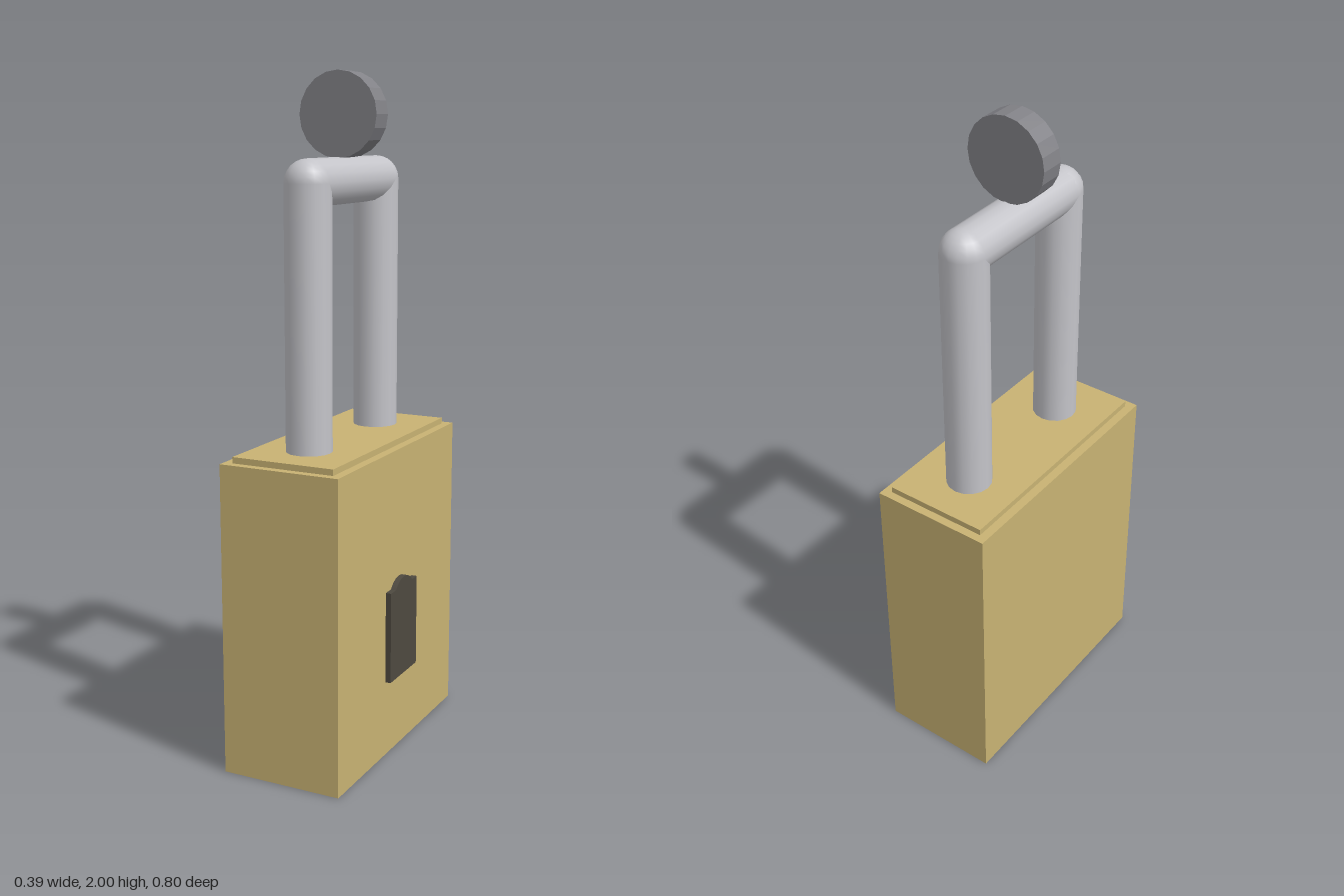
import * as THREE from 'three';
import { toCreasedNormals } from 'three/addons/utils/BufferGeometryUtils.js';

export function createModel() {
  const model = new THREE.Group();
  const CX = -0.01;
  const brass = new THREE.MeshStandardMaterial({ color: 0xc8b273 });
  const steel = new THREE.MeshStandardMaterial({ color: 0xc4c4c9 });
  const darkSteel = new THREE.MeshStandardMaterial({ color: 0x828287 });
  const black = new THREE.MeshStandardMaterial({ color: 0x4e4940 });

  function add(name, geometry, material, x, y, z, parent = model) {
    const mesh = new THREE.Mesh(geometry, material);
    mesh.name = name;
    mesh.position.set(x, y, z);
    parent.add(mesh);
    return mesh;
  }

  // Block body and the thin plate on its top
  add('body', new THREE.BoxGeometry(0.37, 0.925, 0.8), brass, CX, 0.4625, 0);
  add('topPlate', new THREE.BoxGeometry(0.317, 0.028, 0.75), brass, CX, 0.929, 0);

  // Shackle: two legs, a crossbar and ball corners
  const shackle = new THREE.Group();
  shackle.name = 'shackle';
  model.add(shackle);
  const R = 0.067, legZ = 0.216, barY = 1.694, base = 0.92;
  for (const side of [1, -1]) {
    add('shackleLeg', new THREE.CylinderGeometry(R, R, barY - base, 16, 1, true), steel,
      CX, (barY + base) / 2, side * legZ, shackle);
    add('shackleCorner', new THREE.SphereGeometry(R, 16, 12), steel, CX, barY, side * legZ, shackle);
  }
  add('shackleBar', new THREE.CylinderGeometry(R, R, legZ * 2, 16, 1, true), steel,
    CX, barY, 0, shackle).rotation.x = Math.PI / 2;

  // Upright disc resting on the crossbar
  const disc = toCreasedNormals(new THREE.CylinderGeometry(0.122, 0.122, 0.074, 20), 0.2);
  add('disc', disc, darkSteel, CX, 1.879, 0).rotation.x = Math.PI / 2;

  // Keyhole cover on the +x face: a rectangle with a shallow arched top
  const cover = new THREE.Shape();
  const r = 0.075, arcY = 0.462, top = 0.51;
  const a = Math.asin((top - arcY) / r);
  cover.moveTo(-0.092, 0.232);
  cover.lineTo(0.092, 0.232);
  cover.lineTo(0.092, top);
  cover.absarc(0, arcY, r, a, Math.PI - a, false);
  cover.lineTo(-0.092, top);
  cover.closePath();
  const coverGeometry = new THREE.ExtrudeGeometry(cover, { depth: 0.022, bevelEnabled: false, curveSegments: 8 });
  add('keyholeCover', coverGeometry, black, 0.17, 0, 0).rotation.y = Math.PI / 2;

  return model;
}
